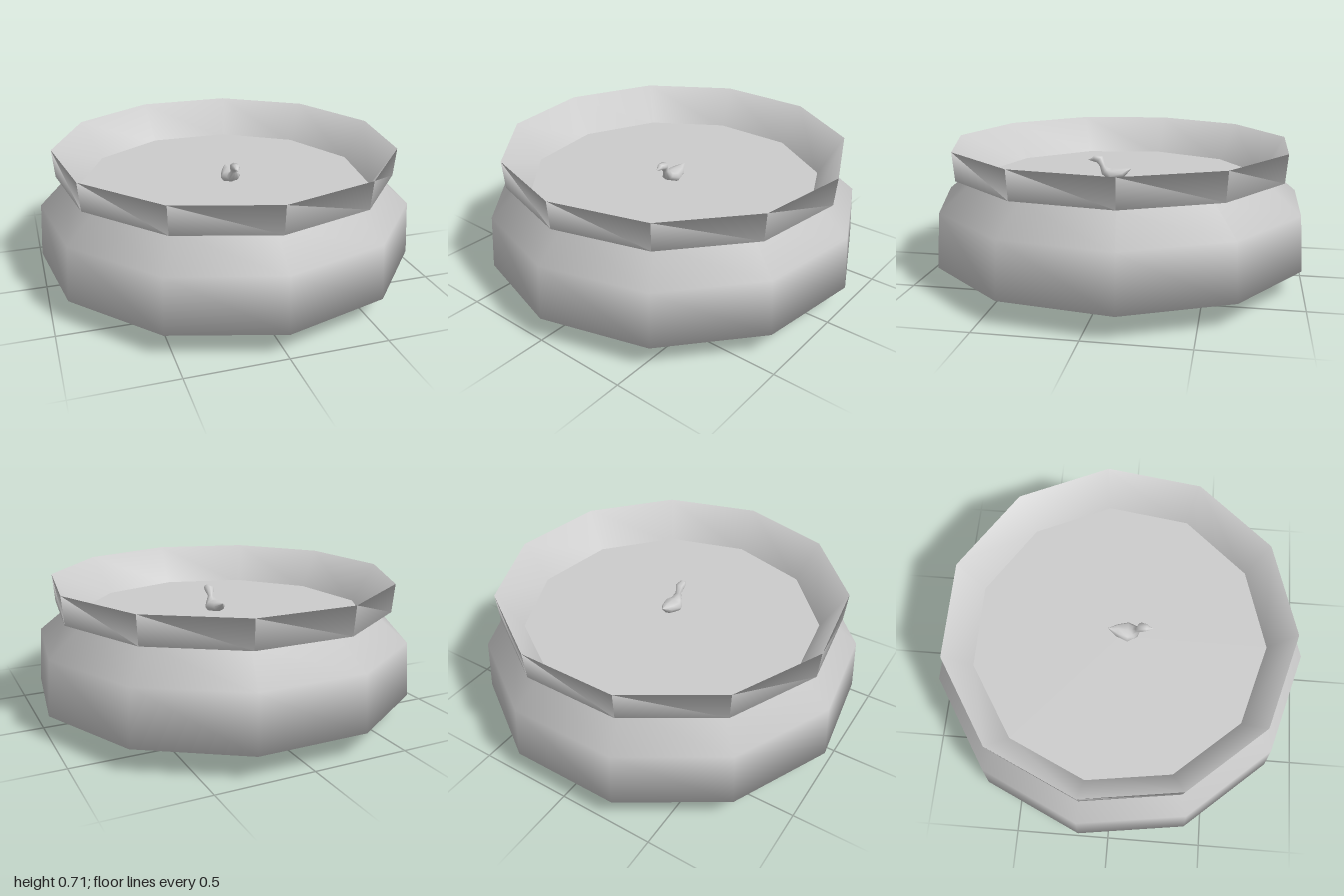
import * as THREE from 'three';

const SIDES = 11;
const WATER_Y = 0.51;
const CENTRE_Z = -0.015;

function material() {
  return new THREE.MeshStandardMaterial({ color: 0xcccccc, side: THREE.DoubleSide });
}

function addMesh(group, name, geometry) {
  const mesh = new THREE.Mesh(geometry, material());
  mesh.name = name;
  group.add(mesh);
  return mesh;
}

// Skin elliptical rings along a spine; each ring is [z, y, halfWidth, halfHeight, tilt]
function loft(rings, sides) {
  const positions = [], index = [];
  rings.forEach(([z, y, w, h, tilt], i) => {
    for (let k = 0; k < sides; k++) {
      const a = (k / sides) * Math.PI * 2;
      const up = h * Math.sin(a);
      positions.push(w * Math.cos(a), y + up * Math.cos(tilt), z - up * Math.sin(tilt));
      if (i < rings.length - 1) {
        const n = (k + 1) % sides;
        const p = i * sides + k, q = i * sides + n;
        index.push(p, q, q + sides, p, q + sides, p + sides);
      }
    }
  });
  const geometry = new THREE.BufferGeometry();
  geometry.setAttribute('position', new THREE.Float32BufferAttribute(positions, 3));
  geometry.setIndex(index);
  geometry.computeVertexNormals();
  return geometry;
}

export function createModel() {
  const group = new THREE.Group();
  group.name = 'duckPond';

  // Bulging tub with a pinched neck, flared rim and sloping inner wall
  const profile = [
    [0, 0], [0.63, 0], [1.01, 0.125], [0.99, 0.41], [0.82, 0.55],
    [0.9, 0.567], [0.912, 0.715], [0.78, WATER_Y - 0.01],
  ].map(([r, y]) => new THREE.Vector2(r, y));
  const tub = addMesh(group, 'tub', new THREE.LatheGeometry(profile, SIDES));
  tub.position.z = CENTRE_Z;

  // Flat water surface
  const disc = new THREE.CircleGeometry(0.785, SIDES, Math.PI * 1.5);
  disc.rotateX(-Math.PI / 2);
  const water = addMesh(group, 'water', disc);
  water.position.set(0, WATER_Y, CENTRE_Z);

  // Little floating duck, from tail tip through body and neck to beak
  const duck = addMesh(group, 'duck', loft([
    [-0.075, 0.055, 0.001, 0.001, -0.5],
    [-0.03, 0.032, 0.034, 0.026, -0.3],
    [0.03, 0.02, 0.055, 0.034, 0],
    [0.068, 0.034, 0.034, 0.026, 0.8],
    [0.083, 0.066, 0.015, 0.015, 1.3],
    [0.1, 0.1, 0.027, 0.024, 0.8],
    [0.128, 0.103, 0.02, 0.018, 0],
    [0.142, 0.097, 0.012, 0.008, -0.2],
    [0.16, 0.095, 0.001, 0.001, -0.2],
  ], 8));
  duck.position.set(0.022, WATER_Y, 0);

  return group;
}
